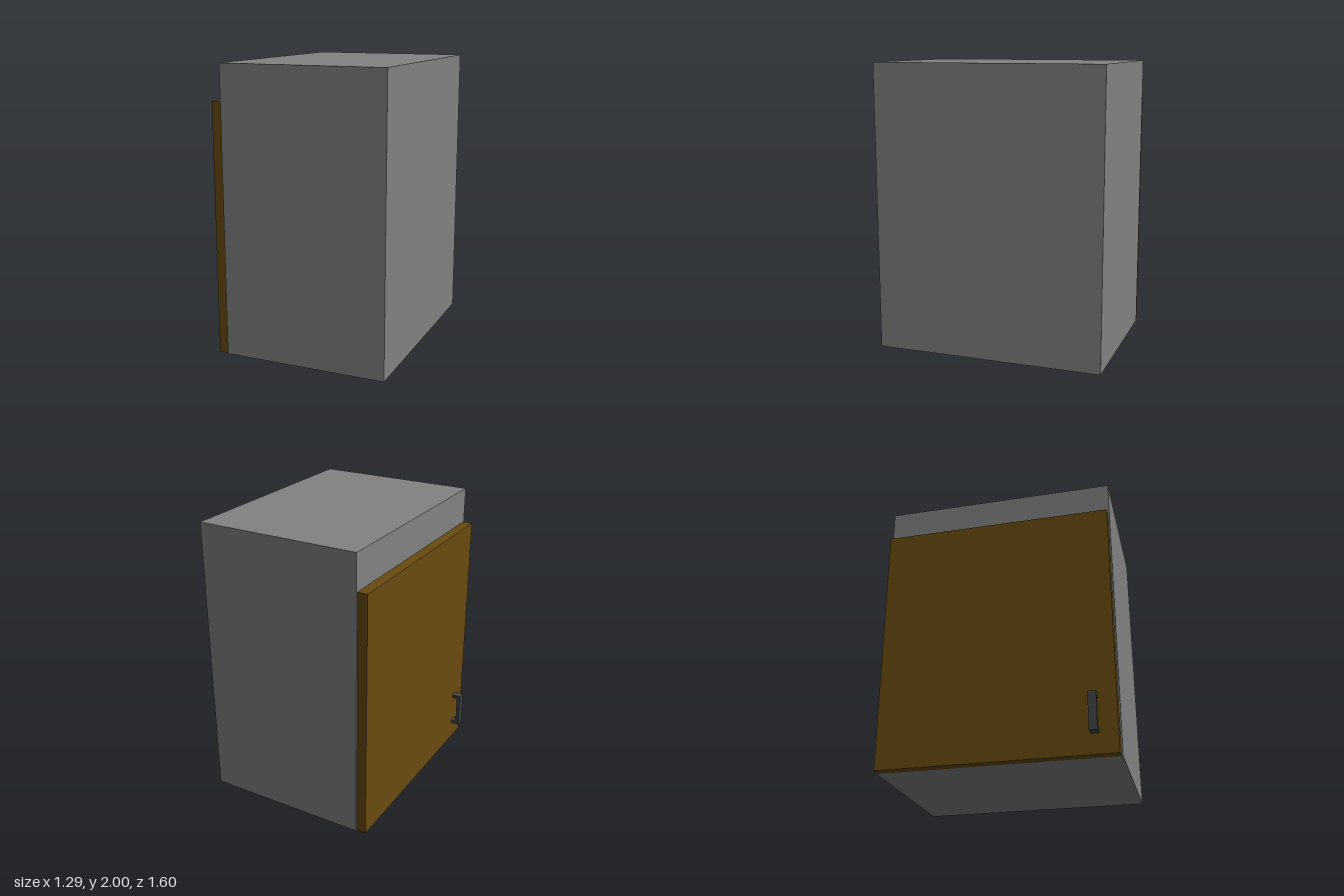
import * as THREE from 'three';

// Box given by its min and max corners
function block(name, color, [x0, y0, z0], [x1, y1, z1]) {
  const geometry = new THREE.BoxGeometry(x1 - x0, y1 - y0, z1 - z0);
  const mesh = new THREE.Mesh(geometry, new THREE.MeshStandardMaterial({ color }));
  mesh.position.set((x0 + x1) / 2, (y0 + y1) / 2, (z0 + z1) / 2);
  mesh.name = name;
  return mesh;
}

export function createModel() {
  const model = new THREE.Group();
  model.name = 'cabinet';

  // Plain body with a door panel on its -x side
  model.add(block('body', 0x828282, [-0.51, 0, -0.8], [0.645, 2, 0.8]));
  model.add(block('door', 0x684b0f, [-0.58, 0, -0.79], [-0.51, 1.75, 0.79]));

  // C-shaped pull handle, drawn as (outward, up) and extruded along z
  const profile = new THREE.Shape([
    [-0.58, 0.135], [-0.58, 0.16], [-0.618, 0.16], [-0.618, 0.365],
    [-0.58, 0.365], [-0.58, 0.39], [-0.645, 0.39], [-0.645, 0.135],
  ].map(([x, y]) => new THREE.Vector2(x, y)));
  const handle = new THREE.Mesh(
    new THREE.ExtrudeGeometry(profile, { depth: 0.055, bevelEnabled: false }),
    new THREE.MeshStandardMaterial({ color: 0x424446 }),
  );
  handle.position.z = 0.615;
  handle.name = 'handle';
  model.add(handle);

  return model;
}
